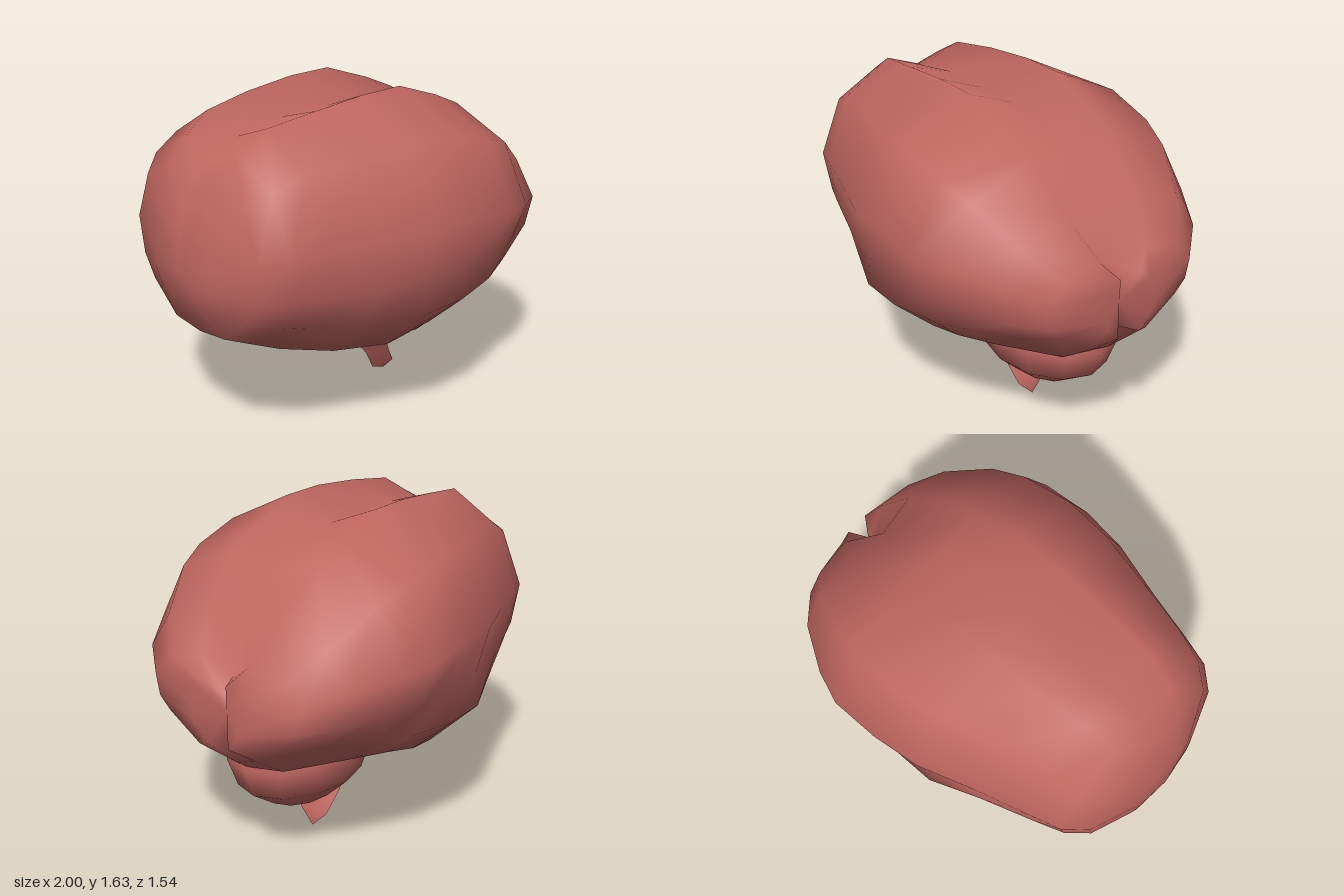
import * as THREE from 'three';
import { toCreasedNormals } from 'three/addons/utils/BufferGeometryUtils.js';

// Skin a list of equal-length rings, closing both ends on a given point.
function loft(rings, startPoint, endPoint) {
  const n = rings[0].length;
  const last = (rings.length - 1) * n;
  const start = rings.length * n, end = start + 1;
  const points = [...rings.flat(), startPoint, endPoint];
  const index = [];
  for (let j = 0; j < n; j++) {
    const k = (j + 1) % n;
    for (let i = 0; i < rings.length - 1; i++) {
      const a = i * n + j, b = i * n + k;
      index.push(a, b, a + n, b, b + n, a + n);
    }
    index.push(start, k, j, end, last + j, last + k);
  }
  const geometry = new THREE.BufferGeometry();
  geometry.setAttribute('position', new THREE.Float32BufferAttribute(points.flat(), 3));
  geometry.setIndex(index);
  geometry.computeVertexNormals();
  return geometry;
}

// Cross-sections of the cerebrum from its front pole (-x) to its back pole (+x):
// x, groove y, crest y, crest z, widest z, widest y, waist z, low z, low y, rim z, rim y, base y
const sections = [
  [-0.975, 1.15, 1.17, 0.08, 0.20, 0.99, 0.20, 0.17, 0.84, 0.09, 0.80, 0.79],
  [-0.89, 1.36, 1.40, 0.15, 0.44, 1.06, 0.41, 0.34, 0.77, 0.18, 0.63, 0.61],
  [-0.79, 1.42, 1.48, 0.18, 0.53, 1.08, 0.49, 0.42, 0.73, 0.22, 0.59, 0.56],
  [-0.64, 1.49, 1.57, 0.21, 0.575, 1.09, 0.54, 0.48, 0.71, 0.27, 0.53, 0.49],
  [-0.38, 1.53, 1.605, 0.24, 0.65, 1.09, 0.62, 0.58, 0.68, 0.35, 0.46, 0.405],
  [-0.10, 1.53, 1.63, 0.25, 0.74, 1.09, 0.67, 0.69, 0.68, 0.43, 0.43, 0.345],
  [0.14, 1.53, 1.63, 0.25, 0.77, 1.10, 0.67, 0.69, 0.68, 0.48, 0.49, 0.44],
  [0.40, 1.48, 1.54, 0.24, 0.765, 1.07, 0.67, 0.63, 0.69, 0.51, 0.58, 0.54],
  [0.57, 1.40, 1.465, 0.23, 0.70, 1.05, 0.62, 0.57, 0.72, 0.43, 0.59, 0.55],
  [0.80, 1.16, 1.25, 0.20, 0.56, 1.00, 0.52, 0.44, 0.74, 0.21, 0.555, 0.52],
  [0.94, 1.00, 1.08, 0.13, 0.41, 0.93, 0.39, 0.33, 0.77, 0.16, 0.65, 0.57],
  [1.00, 0.92, 1.00, 0.06, 0.14, 0.87, 0.14, 0.12, 0.77, 0.06, 0.70, 0.71],
];

function cerebrumRing([x, grooveY, topY, topZ, wideZ, wideY, waistZ, lowZ, lowY, rimZ, rimY, baseY]) {
  // The cleft between the hemispheres cuts into the back pole
  const cleftX = x > 0.9 ? x - 0.07 : x;
  const side = [
    [x, topY, topZ],
    [x, wideY + 0.68 * (topY - wideY), topZ + 0.68 * (wideZ - topZ)],
    [x, wideY, wideZ],
    [x, lowY + 0.38 * (wideY - lowY), waistZ],
    [x, lowY, lowZ],
    [x, rimY, rimZ],
  ];
  const mirrored = side.map(([px, py, pz]) => [px, py, -pz]).reverse();
  return [[cleftX, grooveY, 0], ...side, [cleftX, baseY, 0], ...mirrored];
}

export function createModel() {
  const model = new THREE.Group();
  model.name = 'brain';
  const tissue = new THREE.MeshStandardMaterial({ color: 0xc06660 });
  tissue.name = 'tissue';

  function add(name, geometry) {
    const mesh = new THREE.Mesh(geometry, tissue);
    mesh.name = name;
    model.add(mesh);
    return mesh;
  }

  // Both hemispheres with the cleft along the middle
  add('cerebrum', loft(sections.map(cerebrumRing), [-1, 0.93, 0], [0.93, 0.84, 0]));

  // Rounded lobe tucked under the back
  const cerebellum = add('cerebellum', new THREE.SphereGeometry(1, 12, 6));
  cerebellum.scale.set(0.42, 0.29, 0.31);
  cerebellum.position.set(0.4, 0.5, 0);

  // Tapering stem: each ring is back, left, front, right
  const stemRing = (back, side, z, front) => [
    [...back, 0], [...side, z], [...front, 0], [...side, -z],
  ];
  const stem = loft([
    stemRing([0.34, 0.45], [0.16, 0.46], 0.17, [-0.06, 0.4]),
    stemRing([0.23, 0.23], [0.21, 0.24], 0.12, [0.08, 0.25]),
    stemRing([0.27, 0.16], [0.25, 0.16], 0.1, [0.18, 0.13]),
    stemRing([0.31, 0.08], [0.3, 0.08], 0.08, [0.23, 0.03]),
  ], [0.14, 0.45, 0], [0.31, 0, 0]);
  add('brainStem', toCreasedNormals(stem, 0.8));

  return model;
}
